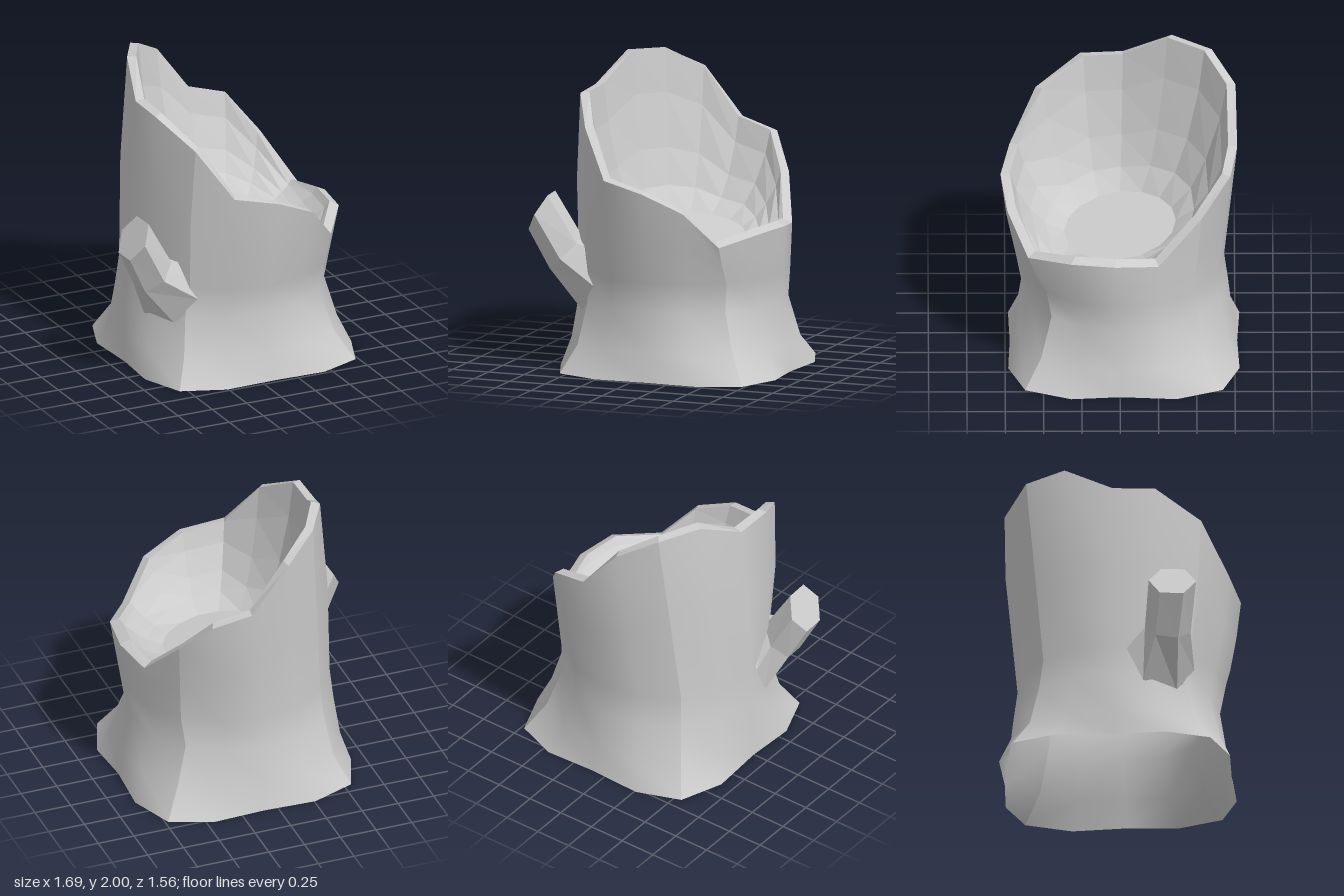
import * as THREE from 'three';
import { mergeVertices } from 'three/addons/utils/BufferGeometryUtils.js';

// Skin a stack of equal-length rings; leave them open for a panel, or close the last with a fan.
function loft(rings, { open = false, cap = false } = {}) {
  const out = [];
  const tri = (...pts) => pts.forEach((p) => out.push(p.x, p.y, p.z));
  const n = rings[0].length;
  for (let j = 0; j < rings.length - 1; j++) {
    for (let i = 0; i < (open ? n - 1 : n); i++) {
      const k = (i + 1) % n;
      const a = rings[j][i], b = rings[j][k], c = rings[j + 1][k], d = rings[j + 1][i];
      tri(a, d, c);
      tri(a, c, b);
    }
  }
  if (cap) {
    const last = rings[rings.length - 1];
    const mid = last.reduce((s, p) => s.add(p), new THREE.Vector3()).divideScalar(n);
    for (let i = 0; i < n; i++) tri(mid, last[(i + 1) % n], last[i]);
  }
  const g = new THREE.BufferGeometry();
  g.setAttribute('position', new THREE.Float32BufferAttribute(out, 3));
  return g;
}

const V = (x, y, z) => new THREE.Vector3(x, y, z);
const COLS = 16;

// Level oval ring, matched column by column to the rim
function oval(cx, cz, rx, rz, y) {
  return Array.from({ length: COLS }, (_, i) => {
    const t = ((i - 5) * Math.PI * 2) / COLS;
    return V(cx + rx * Math.cos(t), y, cz + rz * Math.sin(t));
  });
}

// Six-sided ring square to a direction
function hexRing(center, dir, r) {
  const d = dir.clone().normalize();
  const u = V(0, 0, 1).addScaledVector(d, -d.z).normalize();
  const v = u.clone().cross(d);
  return Array.from({ length: 6 }, (_, i) => {
    const t = (i * Math.PI) / 3;
    return center.clone().addScaledVector(u, r * Math.cos(t)).addScaledVector(v, r * Math.sin(t));
  });
}

export function createModel() {
  const group = new THREE.Group();
  group.name = 'hollowStump';
  const add = (name, geometry, flatShading) => {
    geometry.computeVertexNormals();
    const mesh = new THREE.Mesh(geometry, new THREE.MeshStandardMaterial({
      color: 0xcccccc, flatShading, side: THREE.DoubleSide,
    }));
    mesh.name = name;
    group.add(mesh);
  };

  // Squarish flared foot, starting at the back and going round by the left
  const foot = [
    [-0.26, -0.78], [0.1, -0.765], [0.45, -0.78], [0.73, -0.67],
    [0.845, -0.37], [0.82, 0], [0.845, 0.32], [0.73, 0.62],
    [0.45, 0.73], [0.1, 0.72], [-0.26, 0.73], [-0.55, 0.62],
    [-0.66, 0.33], [-0.64, 0], [-0.66, -0.38], [-0.55, -0.67],
  ].map(([x, z]) => V(x, 0, z));

  // Jagged broken rim
  const rim = [
    [-0.08, 1.84, -0.755], [0.18, 1.52, -0.765], [0.44, 1.45, -0.72], [0.6, 1.22, -0.53],
    [0.735, 0.94, -0.25], [0.795, 0.97, 0.03], [0.755, 0.97, 0.32], [0.56, 0.905, 0.6],
    [0.36, 1.14, 0.735], [0.09, 1.26, 0.78], [-0.2, 1.32, 0.72], [-0.4, 1.63, 0.55],
    [-0.55, 1.8, 0.26], [-0.555, 1.81, -0.02], [-0.46, 1.99, -0.34], [-0.31, 1.97, -0.6],
  ].map((p) => V(...p));

  // Bark: foot, narrowing waist, then up to the rim
  const low = oval(0.075, -0.025, 0.715, 0.7, 0.18);
  low.forEach((p, i) => p.lerp(V(foot[i].x, 0.18, foot[i].z), 0.3));
  const waist = oval(0.06, -0.03, 0.685, 0.675, 0.45);
  const chest = oval(0.08, 0, 0.69, 0.68, 0.65);
  const shoulder = chest.map((p, i) => p.clone().lerp(rim[i], 0.5));
  shoulder.forEach((p) => { p.x += p.x < -0.4 ? -0.02 : 0; p.z += p.z > 0.4 ? 0.012 : 0; });

  // Four smooth sides meeting in ridges at the corners
  for (let s = 0; s < 4; s++) {
    const side = [foot, low, waist, chest, shoulder, rim].map((ring) =>
      Array.from({ length: 5 }, (_, i) => ring[(3 + s * 4 + i) % COLS]));
    add('trunkSide', mergeVertices(loft(side, { open: true })), false);
  }

  // Lip and faceted hollow, ending in a slightly tilted floor
  const lip = rim.map((p) => {
    const inward = V(0.1 - p.x, 0, -p.z).normalize().multiplyScalar(0.06);
    return p.clone().add(inward).add(V(0, p.y < 1.1 ? 0.03 : 0.01, 0));
  });
  const floor = oval(0.125, 0, 0.36, 0.365, 0);
  floor.forEach((p) => { p.y = 0.89 - 0.118 * (p.x - 0.12 + p.z); });
  const steps = [[0.12, 0.28], [0.38, 0.62], [0.65, 0.85]].map(([r, h]) =>
    lip.map((p, i) => {
      const q = p.clone().lerp(floor[i], r);
      q.y = p.y + (floor[i].y - p.y) * h;
      return q;
    }));
  add('hollow', loft([rim, lip, ...steps, floor], { cap: true }), true);

  // Broken branch stub on the right side, spreading where it joins the trunk
  const branch = [
    hexRing(V(-0.48, 0.6, 0.29), V(-0.8, 0.2, 0.5), 0.25),
    hexRing(V(-0.615, 0.75, 0.345), V(-0.65, 0.7, 0.15), 0.15),
    hexRing(V(-0.77, 1.03, 0.385), V(-0.87, 0.5, 0.06), 0.155),
  ];
  add('branch', loft(branch, { cap: true }), true);

  return group;
}
